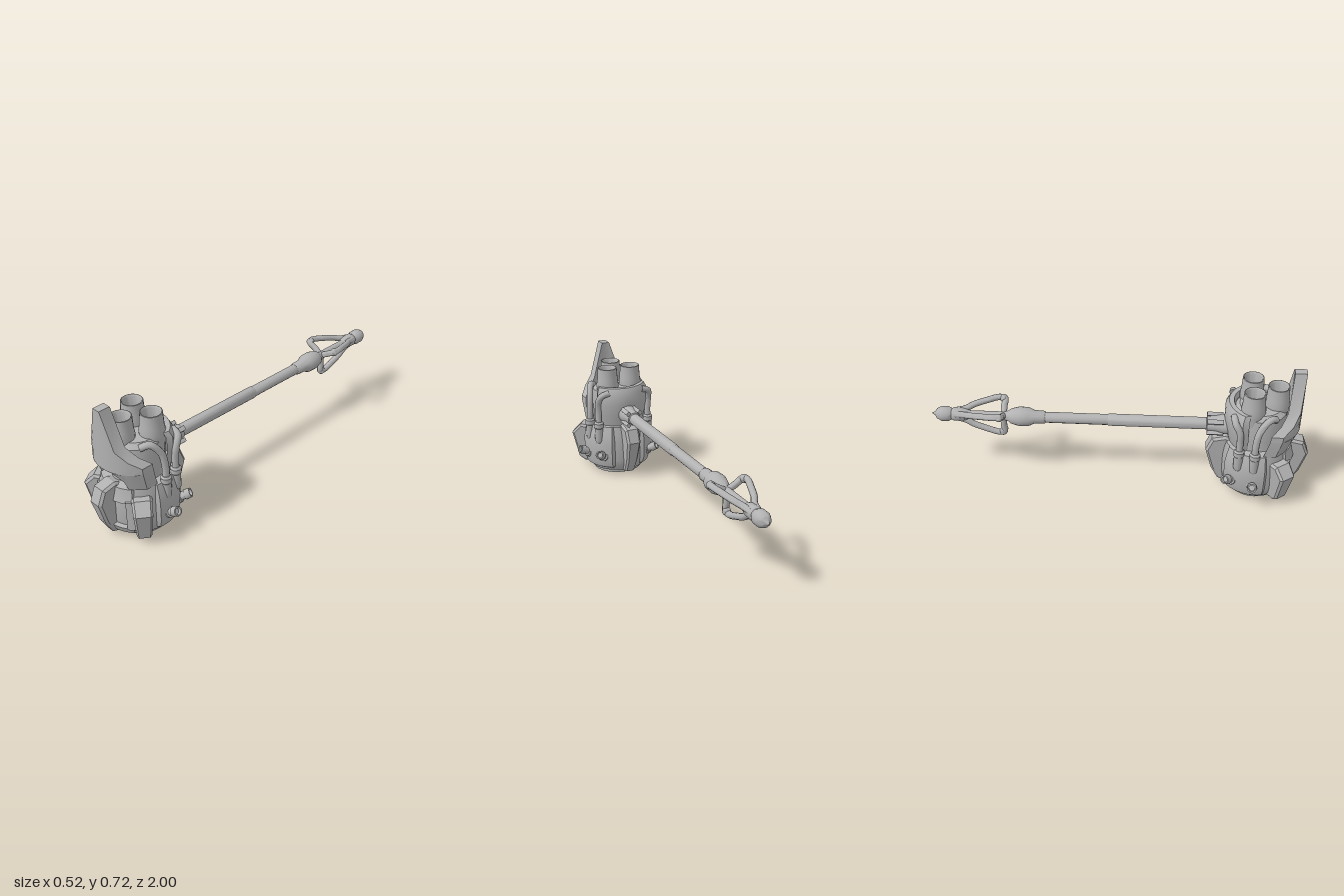
import * as THREE from 'three';
import { toCreasedNormals } from 'three/addons/utils/BufferGeometryUtils.js';

const HEAD_Z = 0.73;   // vertical axis of the head
const SHAFT_Y = 0.375; // height of the handle axis

export function createModel() {
  const model = new THREE.Group();
  const metal = new THREE.MeshStandardMaterial({ color: 0xb2b2b2, side: THREE.DoubleSide });
  metal.name = 'grey metal';

  const head = new THREE.Group();
  head.name = 'head';
  head.position.z = HEAD_Z;
  const handle = new THREE.Group();
  handle.name = 'handle';
  handle.position.y = SHAFT_Y;
  model.add(head, handle);

  const add = (parent, name, geo, crease = 0.6) => {
    const mesh = new THREE.Mesh(toCreasedNormals(geo, crease), metal);
    mesh.name = name;
    parent.add(mesh);
    return mesh;
  };
  const lathe = (pts, seg = 24, start = 0, len = Math.PI * 2) =>
    new THREE.LatheGeometry(pts.map(p => new THREE.Vector2(...p)), seg, start, len);
  const tube = (pts, r, seg = 20) => new THREE.TubeGeometry(
    new THREE.CatmullRomCurve3(pts.map(p => new THREE.Vector3(...p))), seg, r, 10);

  // Lower drum with its base ring and sunken underside
  add(head, 'drum', lathe([[0, 0.012], [0.11, 0.012], [0.12, 0], [0.138, 0], [0.14, 0.018], [0.155, 0.022],
    [0.172, 0.05], [0.18, 0.09], [0.182, 0.2], [0.178, 0.25], [0.17, 0.295], [0.14, 0.305], [0, 0.305]], 32));

  // Curved armour plate with chamfered ends, following the drum
  const panel = (name, profile, centre, half, seg = 12) => {
    const g = lathe(profile, seg, centre - half, half * 2);
    const p = g.attributes.position, n = profile.length;
    for (let i = 0; i < p.count; i++) {
      const column = Math.floor(i / n);
      if (column === 0 || column === seg) p.setXYZ(i, p.getX(i) * 0.88, p.getY(i), p.getZ(i) * 0.88);
    }
    return add(head, name, g);
  };
  const band = (r, y0, y1) => [[r - 0.03, y0], [r, y0 + 0.008], [r, y1 - 0.008], [r - 0.03, y1]];

  // Front window frame
  panel('frameBottom', [[0.15, 0.022], [0.185, 0.04], [0.2, 0.075], [0.175, 0.08]], 0, 0.85);
  panel('frameTop', [[0.175, 0.218], [0.196, 0.222], [0.186, 0.255], [0.178, 0.295], [0.15, 0.3]], 0, 0.85);
  for (const s of [-1, 1]) {
    panel('frameSide', band(0.2, 0.06, 0.24), s * 0.66, 0.16, 6);
    panel('sidePanel', [[0.15, 0.03], [0.185, 0.05], [0.197, 0.09], [0.199, 0.2], [0.19, 0.25],
      [0.176, 0.297], [0.15, 0.3]], s * 2.0, 0.72);
  }

  // Fins around the drum: a radial profile extruded and narrowed toward the foot
  const fin = (name, pts, width, angle) => {
    const shape = new THREE.Shape(pts.map(p => new THREE.Vector2(...p)));
    const b = 0.012;
    const g = new THREE.ExtrudeGeometry(shape, {
      depth: width - 2 * b, bevelEnabled: true, bevelThickness: b, bevelSize: b, bevelOffset: -b, bevelSegments: 1
    });
    g.translate(0, 0, b - width / 2).rotateY(-Math.PI / 2);
    const p = g.attributes.position;
    for (let i = 0; i < p.count; i++) p.setX(i, p.getX(i) * (0.65 + 0.35 * Math.min(1, p.getY(i) / 0.25)));
    add(head, name, g, 0.4).rotation.y = angle;
  };
  const tallFin = [[0.13, 0.03], [0.165, 0.014], [0.195, 0.025], [0.235, 0.1], [0.27, 0.225], [0.24, 0.3],
    [0.17, 0.316], [0.13, 0.3]];
  const shortFin = [[0.12, 0.02], [0.195, 0.02], [0.23, 0.045], [0.268, 0.2], [0.215, 0.255], [0.12, 0.25]];
  fin('frontFin', tallFin, 0.085, 0);
  fin('backFin', tallFin, 0.085, Math.PI);
  fin('leftFin', shortFin, 0.1, 0.95);
  fin('rightFin', shortFin, 0.1, -0.95);

  // Upper core and the shell at its back
  add(head, 'core', lathe([[0.135, 0.29], [0.135, 0.36], [0.14, 0.43], [0.135, 0.49], [0.11, 0.515], [0, 0.515]]));
  panel('backShell', [[0.13, 0.29], [0.155, 0.3], [0.17, 0.36], [0.182, 0.43], [0.182, 0.5], [0.165, 0.53],
    [0.14, 0.53], [0.13, 0.5]], Math.PI, 1.15, 16);

  // Three open exhausts
  for (const [x, z] of [[-0.07, -0.045], [0.07, -0.045], [0, 0.08]]) {
    add(head, 'exhaust', lathe([[0.062, 0.29], [0.054, 0.4], [0.062, 0.5], [0.064, 0.53], [0.059, 0.56], [0.055, 0.628],
      [0.051, 0.63], [0.046, 0.622], [0.044, 0.54], [0, 0.54]], 20)).position.set(x, 0, z);
  }

  // Front shield: each row holds height, inner edge and outer edge
  const rows = [[0.295, 0.1, 0.165], [0.345, 0.1, 0.17], [0.399, 0.06, 0.175], [0.401, 0, 0.175], [0.43, 0, 0.174],
    [0.47, 0, 0.135], [0.52, 0, 0.085], [0.72, 0, 0.022]];
  for (const s of [-1, 1]) {
    const g = new THREE.BoxGeometry(1, 1, 1, 6, rows.length - 1, 1);
    const p = g.attributes.position;
    for (let i = 0; i < p.count; i++) {
      const [y, a, b] = rows[Math.round((p.getY(i) + 0.5) * (rows.length - 1))];
      const x = a + (b - a) * (0.5 + s * p.getX(i));
      const front = 0.01 + Math.sqrt(0.04 - x * x) - Math.max(0, 0.4 - y) * 0.4;
      p.setXYZ(i, s * x, y, front - (p.getZ(i) < 0 ? 0.062 : 0));
    }
    add(head, 'shield', g, 0.5);
  }

  // Hoses with sleeves, and angled nozzles on both sides
  const up = new THREE.Vector3(0, 1, 0);
  for (const s of [-1, 1]) {
    const hoses = [
      [[0.178, 0.3, -0.025], [0.176, 0.38, -0.025], [0.168, 0.46, -0.01], [0.145, 0.515, 0.035], [0.115, 0.5, 0.07]],
      [[0.155, 0.3, -0.105], [0.155, 0.38, -0.105], [0.158, 0.44, -0.11], [0.145, 0.49, -0.135], [0.1, 0.505, -0.14]]
    ];
    for (const h of hoses) {
      add(head, 'hose', tube(h.map(([x, y, z]) => [s * x, y, z]), 0.018), 1);
      add(head, 'hoseSleeve', lathe([[0, 0.2], [0.018, 0.2], [0.024, 0.215], [0.024, 0.29], [0.028, 0.295],
        [0.028, 0.32], [0.02, 0.33], [0, 0.33]], 12)).position.set(s * h[0][0], 0, h[0][2]);
    }
    for (const a of [1.69, 2.32]) {
      const nozzle = add(head, 'nozzle', lathe([[0.03, 0], [0.03, 0.02], [0.021, 0.022], [0.021, 0.042],
        [0.026, 0.044], [0.024, 0.075], [0.017, 0.075], [0.015, 0.06], [0, 0.06]], 14));
      nozzle.position.set(s * Math.sin(a) * 0.182, 0.115, Math.cos(a) * 0.182);
      nozzle.quaternion.setFromUnitVectors(up,
        new THREE.Vector3(s * Math.sin(a), 0.5, Math.cos(a)).normalize());
    }
  }

  // Turned handle parts, given as radius and z from head to tip
  const turned = (name, pts, seg = 20) =>
    add(handle, name, lathe(pts.map(([r, z]) => [r, -z]), seg).rotateX(-Math.PI / 2));
  turned('collar', [[0.055, 0.6], [0.052, 0.54], [0.042, 0.5], [0.038, 0.46], [0.03, 0.455]]);
  turned('shaft', [[0.032, 0.56], [0.032, -0.055], [0.029, -0.06]]);
  turned('grip', [[0.029, -0.055], [0.029, -0.39], [0.033, -0.395]], 12);
  turned('pommelNeck', [[0.029, -0.39], [0.034, -0.4], [0.036, -0.45], [0.05, -0.48], [0.052, -0.53],
    [0.04, -0.575], [0.028, -0.59], [0.022, -0.61], [0.022, -0.83]]);
  turned('pommelTip', [[0.024, -0.8], [0.034, -0.83], [0.036, -0.88], [0.03, -0.89], [0.04, -0.91], [0.04, -0.945],
    [0.028, -0.97], [0.012, -0.98], [0, -1]]);

  // Collar ribs
  for (let i = 0; i < 4; i++) {
    const a = Math.PI / 4 + i * Math.PI / 2;
    const rib = add(handle, 'collarRib', new THREE.BoxGeometry(0.024, 0.02, 0.085));
    rib.position.set(Math.sin(a) * 0.05, Math.cos(a) * 0.05, 0.502);
    rib.rotation.z = -a;
  }

  // Three looped prongs caging the end of the handle
  for (let i = 0; i < 3; i++) {
    const prong = new THREE.Group();
    prong.name = 'prong';
    prong.rotation.z = Math.PI + i * Math.PI * 2 / 3;
    handle.add(prong);
    add(prong, 'prongLoop', tube([[0, 0.015, -0.615], [0, 0.06, -0.617], [0, 0.1, -0.615], [0, 0.108, -0.645],
      [0, 0.088, -0.71], [0, 0.06, -0.78], [0, 0.035, -0.82], [0, 0.022, -0.87]], 0.017, 30), 1);
    const knuckle = add(prong, 'prongKnuckle', new THREE.SphereGeometry(0.022, 12, 8), 1);
    knuckle.position.set(0, 0.102, -0.623);
  }
  return model;
}
